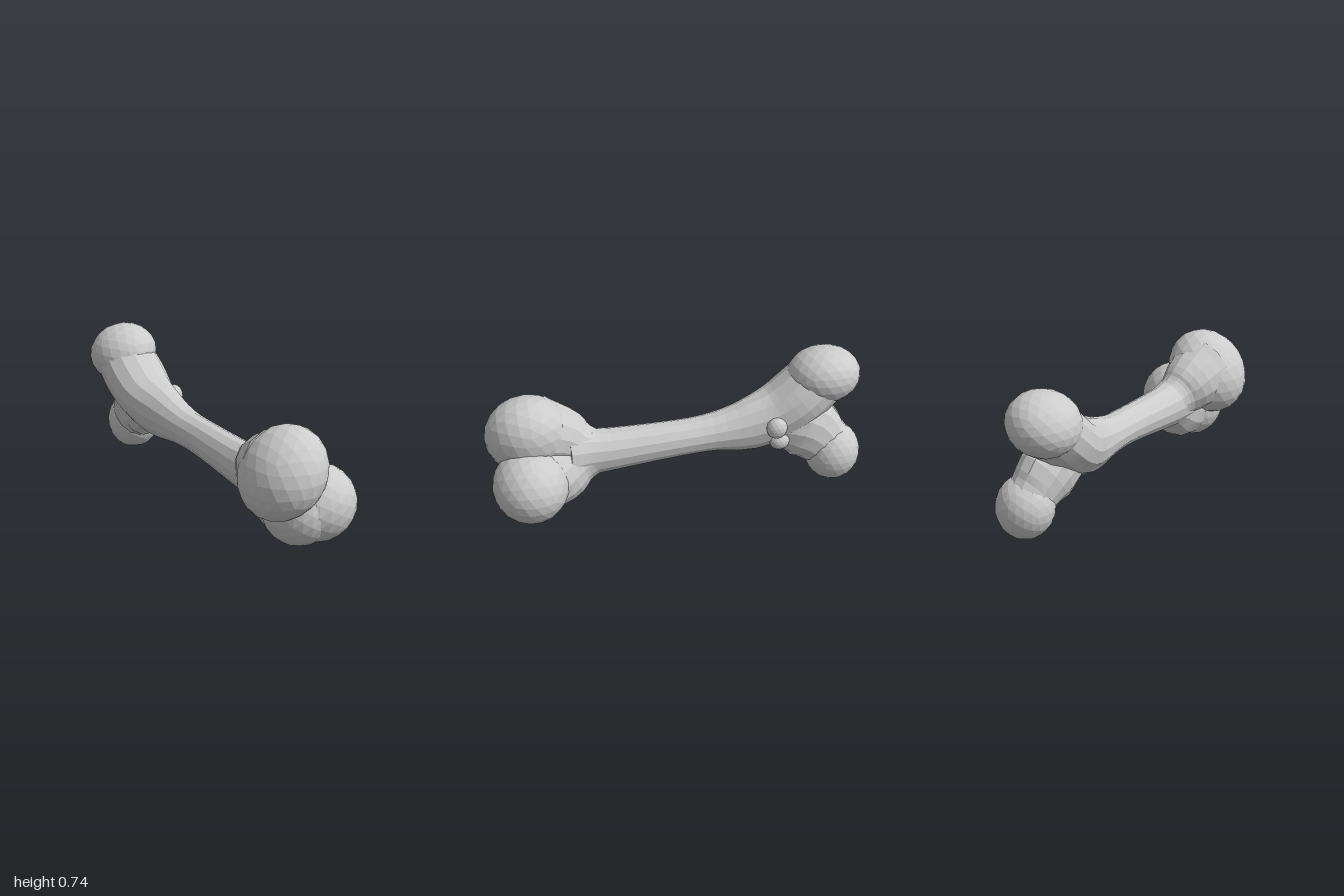
import * as THREE from 'three';

const material = new THREE.MeshStandardMaterial({ color: 0xcccccc, flatShading: true });

// Closed tube through sections [x, y, z, sideways radius, upright radius]
function loft(sections, rings, sides) {
  const path = new THREE.CatmullRomCurve3(
    sections.map(s => new THREE.Vector3(s[0], s[1], s[2])), false, 'catmullrom');
  const radii = new THREE.CatmullRomCurve3(
    sections.map(s => new THREE.Vector3(s[3], s[4], 0)), false, 'catmullrom');
  const positions = [], index = [];
  for (let i = 0; i <= rings; i++) {
    const t = i / rings;
    const c = path.getPoint(t), r = radii.getPoint(t), along = path.getTangent(t);
    const side = new THREE.Vector3(1, 0, 0).addScaledVector(along, -along.x).normalize();
    const up = along.clone().cross(side);
    for (let j = 0; j < sides; j++) {
      const a = j / sides * Math.PI * 2;
      const p = c.clone()
        .addScaledVector(side, r.x * Math.cos(a))
        .addScaledVector(up, r.y * Math.sin(a));
      positions.push(p.x, Math.max(p.y, 0), p.z);
    }
  }
  for (let i = 0; i < rings; i++) {
    for (let j = 0; j < sides; j++) {
      const k = (j + 1) % sides;
      const a = i * sides + j, b = i * sides + k, c = a + sides, d = b + sides;
      index.push(a, b, c, b, d, c);
    }
  }
  // End caps
  const first = positions.length / 3, last = first + 1, base = rings * sides;
  positions.push(...sections[0].slice(0, 3), ...sections[sections.length - 1].slice(0, 3));
  for (let j = 0; j < sides; j++) {
    const k = (j + 1) % sides;
    index.push(first, k, j, last, base + j, base + k);
  }
  const geometry = new THREE.BufferGeometry();
  geometry.setAttribute('position', new THREE.Float32BufferAttribute(positions, 3));
  geometry.setIndex(index);
  geometry.computeVertexNormals();
  return geometry;
}

// Faceted ellipsoid, tilted about z and cut flat where it meets the ground
function knob(center, radii, tilt = 0, detail = 3) {
  const geometry = new THREE.IcosahedronGeometry(1, detail);
  geometry.scale(...radii).rotateZ(tilt).translate(...center);
  const p = geometry.attributes.position;
  for (let i = 0; i < p.count; i++) p.setY(i, Math.max(p.getY(i), 0));
  geometry.computeVertexNormals();
  return geometry;
}

export function createModel() {
  const group = new THREE.Group();
  group.name = 'bone';
  const add = (name, geometry) => {
    const mesh = new THREE.Mesh(geometry, material);
    mesh.name = name;
    group.add(mesh);
  };

  // Shaft, bending up at the rear into the head
  add('shaft', loft([
    [-0.02, 0.275, 0.58, 0.13, 0.15],
    [-0.025, 0.272, 0.48, 0.115, 0.135],
    [-0.022, 0.272, 0.35, 0.106, 0.118],
    [-0.01, 0.295, 0, 0.095, 0.1],
    [-0.01, 0.308, -0.2, 0.1, 0.104],
    [-0.01, 0.328, -0.4, 0.125, 0.145],
    [-0.02, 0.385, -0.56, 0.16, 0.15],
    [-0.02, 0.47, -0.68, 0.175, 0.155],
    [-0.025, 0.56, -0.78, 0.165, 0.155],
  ], 24, 14));

  // Front end: the shaft forks into an upper lobe and a pair of lower lobes
  add('upperFrontFlare', loft([
    [-0.03, 0.28, 0.44, 0.1, 0.11],
    [-0.045, 0.305, 0.52, 0.12, 0.135],
    [-0.072, 0.35, 0.61, 0.163, 0.17],
    [-0.095, 0.38, 0.73, 0.19, 0.21],
  ], 9, 14));
  add('upperFrontLobe', knob([-0.095, 0.38, 0.772], [0.202, 0.245, 0.23], -0.65));
  add('lowerFrontFlare', loft([
    [-0.02, 0.26, 0.44, 0.1, 0.11],
    [-0.015, 0.235, 0.52, 0.115, 0.135],
    [0.005, 0.195, 0.62, 0.155, 0.175],
    [0.03, 0.185, 0.74, 0.185, 0.185],
  ], 9, 14));
  add('lowerFrontLobe', knob([0.095, 0.188, 0.793], [0.212, 0.198, 0.2]));
  add('innerFrontLobe', knob([0, 0.172, 0.77], [0.175, 0.188, 0.195]));

  // Rear end: upper head, and a lower knob on its own neck
  add('rearHead', knob([-0.02, 0.583, -0.805], [0.187, 0.157, 0.197], 0.35));
  add('rearNeck', loft([
    [0, 0.33, -0.52, 0.1, 0.12],
    [0.02, 0.3, -0.695, 0.13, 0.187],
    [0.05, 0.21, -0.807, 0.12, 0.148],
    [0.065, 0.155, -0.86, 0.12, 0.125],
  ], 9, 14));
  add('rearKnob', knob([0.068, 0.148, -0.85], [0.148, 0.164, 0.15]));

  // Two small bumps on the left side of the shaft
  add('upperBump', knob([0.13, 0.375, -0.515], [0.048, 0.06, 0.056], 0, 2));
  add('lowerBump', knob([0.105, 0.275, -0.54], [0.042, 0.05, 0.054], 0, 2));

  return group;
}
